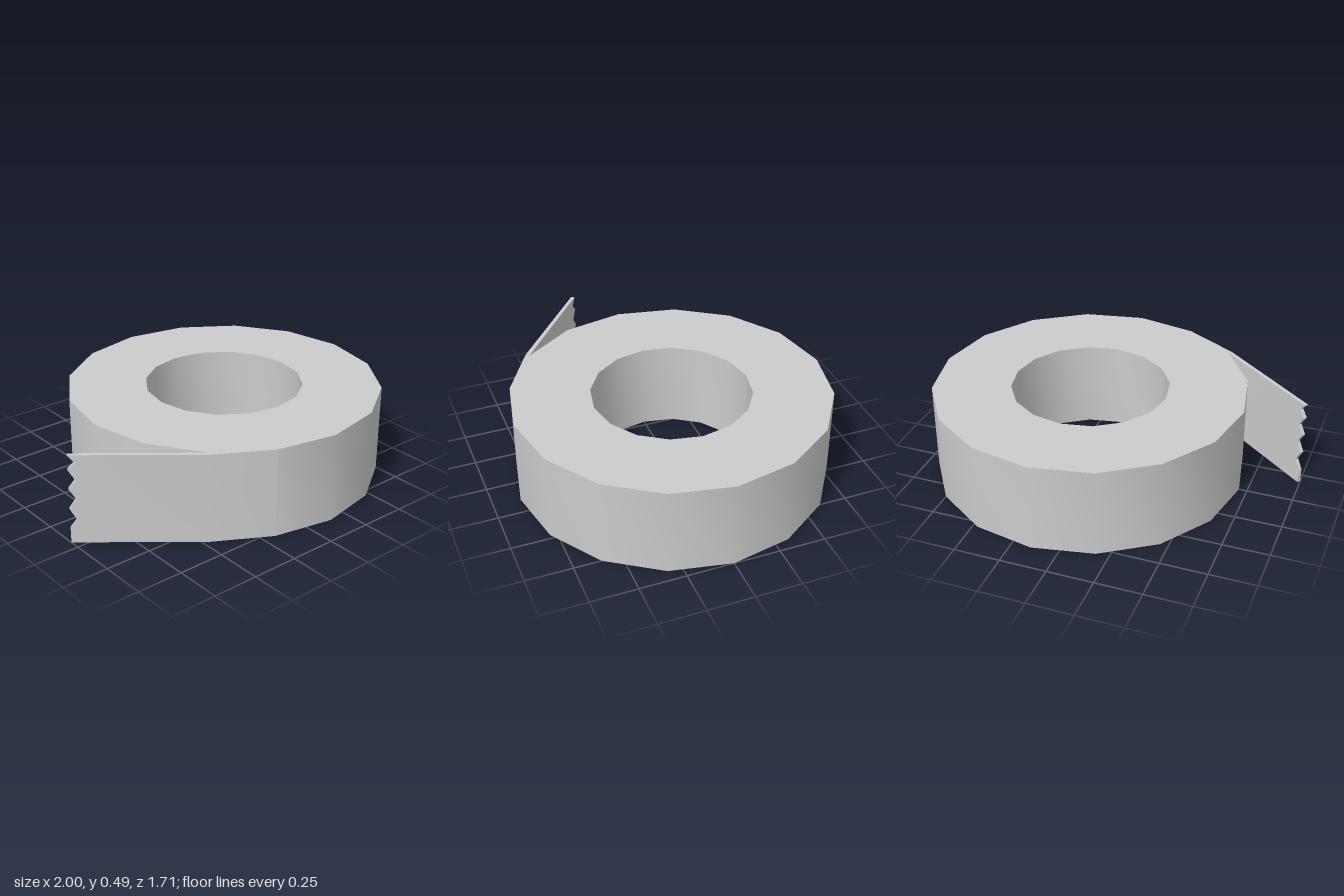
import * as THREE from 'three';
import { mergeGeometries, toCreasedNormals } from 'three/addons/utils/BufferGeometryUtils.js';

const H = 0.485;      // tape width
const CX = 0.147;     // roll centre in x
const R = 0.853, r = 0.428;

export function createModel() {
  const group = new THREE.Group();
  const material = new THREE.MeshStandardMaterial({ color: 0xcccccc });
  const add = (geometry, name) => {
    const mesh = new THREE.Mesh(toCreasedNormals(geometry, 0.7), material);
    mesh.name = name;
    group.add(mesh);
  };

  // Wound roll: 16-sided ring with smooth walls and sharp rims
  const profile = [[R, 0], [R, H], [r, H], [r, 0], [R, 0]].map(p => new THREE.Vector2(...p));
  add(new THREE.LatheGeometry(profile, 16).translate(CX, 0, 0), 'tapeRoll');

  // Plan points (x, z) of the loose end
  const corner = k => new THREE.Vector2(CX + R * Math.cos(k * Math.PI / 8), R * Math.sin(k * Math.PI / 8));
  const tangent = corner(5), innerStart = corner(6);
  const outerStart = new THREE.Vector2(-0.47, 0.622), outerEnd = new THREE.Vector2(-1, 0.193);
  const innerEnd = new THREE.Vector2(-0.988, 0.176);

  // Thin wedge where the end lifts off the roll
  const wedgeShape = new THREE.Shape([tangent, outerStart, innerStart].map(p => new THREE.Vector2(p.x, -p.y)));
  const wedge = new THREE.ExtrudeGeometry(wedgeShape, { depth: H, bevelEnabled: false }).rotateX(-Math.PI / 2);

  // Straight flap with a torn zigzag edge, drawn as (distance along flap, height)
  const n = 0.948;
  const flapShape = new THREE.Shape([
    [0, 0], [1, 0], [1, 0.08], [n, 0.13], [1, 0.19], [n, 0.245], [1, 0.3],
    [n, 0.35], [1, 0.405], [n, 0.445], [1, H], [0, H],
  ].map(p => new THREE.Vector2(...p)));
  const flap = new THREE.ExtrudeGeometry(flapShape, { depth: 1, bevelEnabled: false });
  const pos = flap.attributes.position;
  for (let i = 0; i < pos.count; i++) {
    const u = pos.getX(i), inner = pos.getZ(i) > 0.5;
    const p = inner ? innerStart.clone().lerp(innerEnd, u) : outerStart.clone().lerp(outerEnd, u);
    pos.setXYZ(i, p.x, pos.getY(i), p.y);
  }
  add(mergeGeometries([wedge, flap]), 'looseEnd');

  return group;
}
